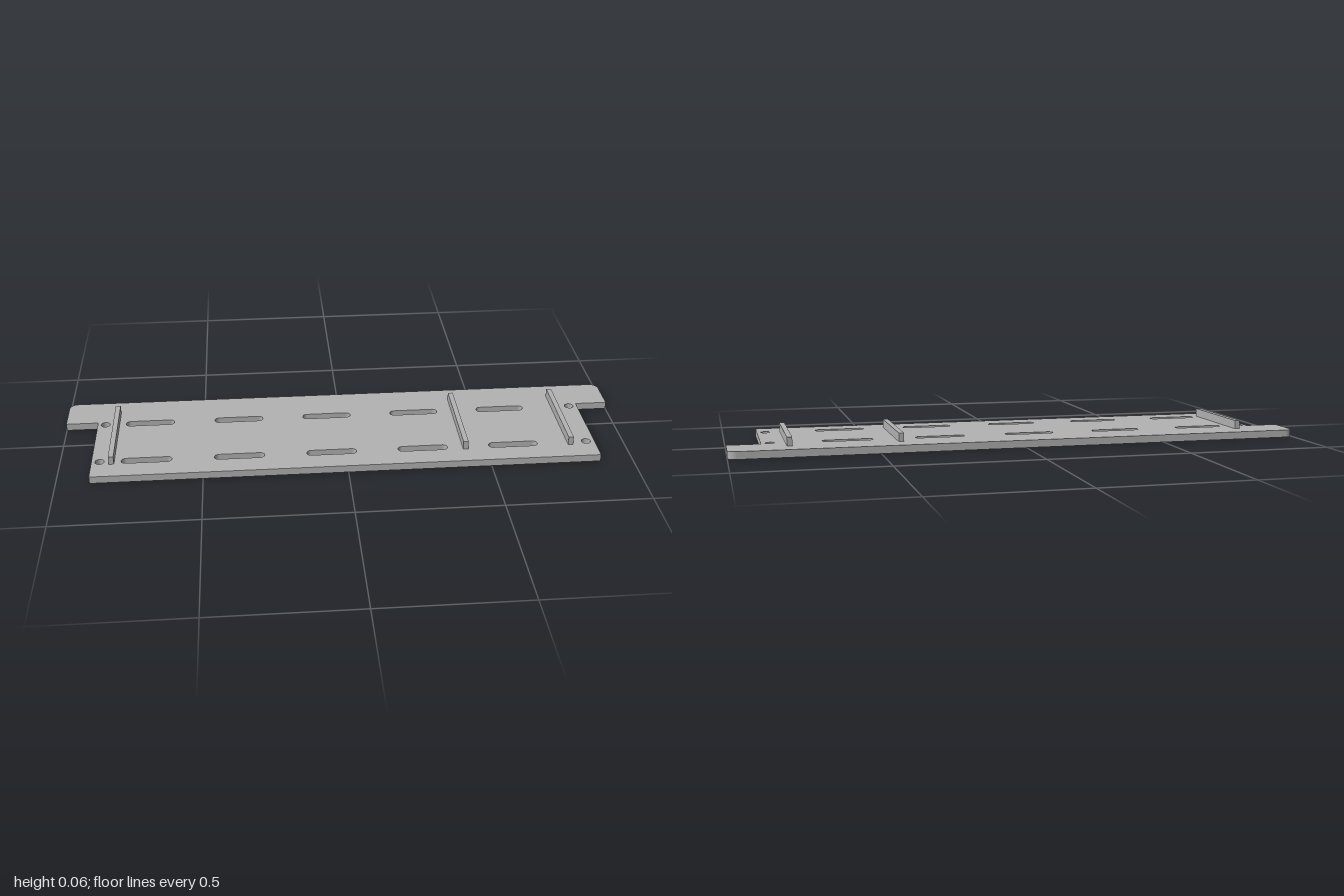
import * as THREE from 'three';

export function createModel() {
  const group = new THREE.Group();
  const grey = new THREE.MeshStandardMaterial({ color: 0xb2b2b2 });
  grey.name = 'plain grey';

  const T = 0.026;      // plate thickness
  const back = 0.254;   // half depth
  const body = 0.885;   // half width of the main panel
  const step = 0.111;   // where the wide rear strip ends
  const R = 0.03;       // rear corner radius

  // Plate outline, drawn with shape y pointing to the back
  const outline = new THREE.Shape();
  outline.moveTo(-body, -back);
  outline.lineTo(body, -back);
  outline.lineTo(body, step);
  outline.lineTo(1, step);
  outline.lineTo(1, back - R);
  outline.absarc(1 - R, back - R, R, 0, Math.PI / 2, false);
  outline.lineTo(-1 + R, back);
  outline.absarc(-1 + R, back - R, R, Math.PI / 2, Math.PI, false);
  outline.lineTo(-1, step);
  outline.lineTo(-body, step);
  outline.closePath();

  // Two rows of five slots, with a round screw hole at each end
  const r = 0.016;
  const half = 0.0875 - r;
  for (const y of [0.096, -0.159]) {
    for (let i = 0; i < 5; i++) {
      const x = -0.695 + i * 0.3217;
      const slot = new THREE.Path();
      slot.absarc(x + half, y, r, -Math.PI / 2, Math.PI / 2, false);
      slot.absarc(x - half, y, r, Math.PI / 2, Math.PI * 1.5, false);
      slot.closePath();
      outline.holes.push(slot);
    }
    for (const x of [-0.857, 0.855]) {
      const hole = new THREE.Path();
      hole.absarc(x, y, r, 0, Math.PI * 2, false);
      outline.holes.push(hole);
    }
  }

  const plateGeo = new THREE.ExtrudeGeometry(outline, { depth: T, bevelEnabled: false, curveSegments: 16 });
  plateGeo.rotateX(-Math.PI / 2);
  const plate = new THREE.Mesh(plateGeo, grey);
  plate.name = 'slottedPlate';
  group.add(plate);

  // Raised cross ribs
  const ribGeo = new THREE.BoxGeometry(0.018, 0.03, 0.356);
  [-0.815, 0.42, 0.795].forEach((x, i) => {
    const rib = new THREE.Mesh(ribGeo, grey);
    rib.name = `crossRib${i + 1}`;
    rib.position.set(x, T + 0.015, 0);
    group.add(rib);
  });

  return group;
}
